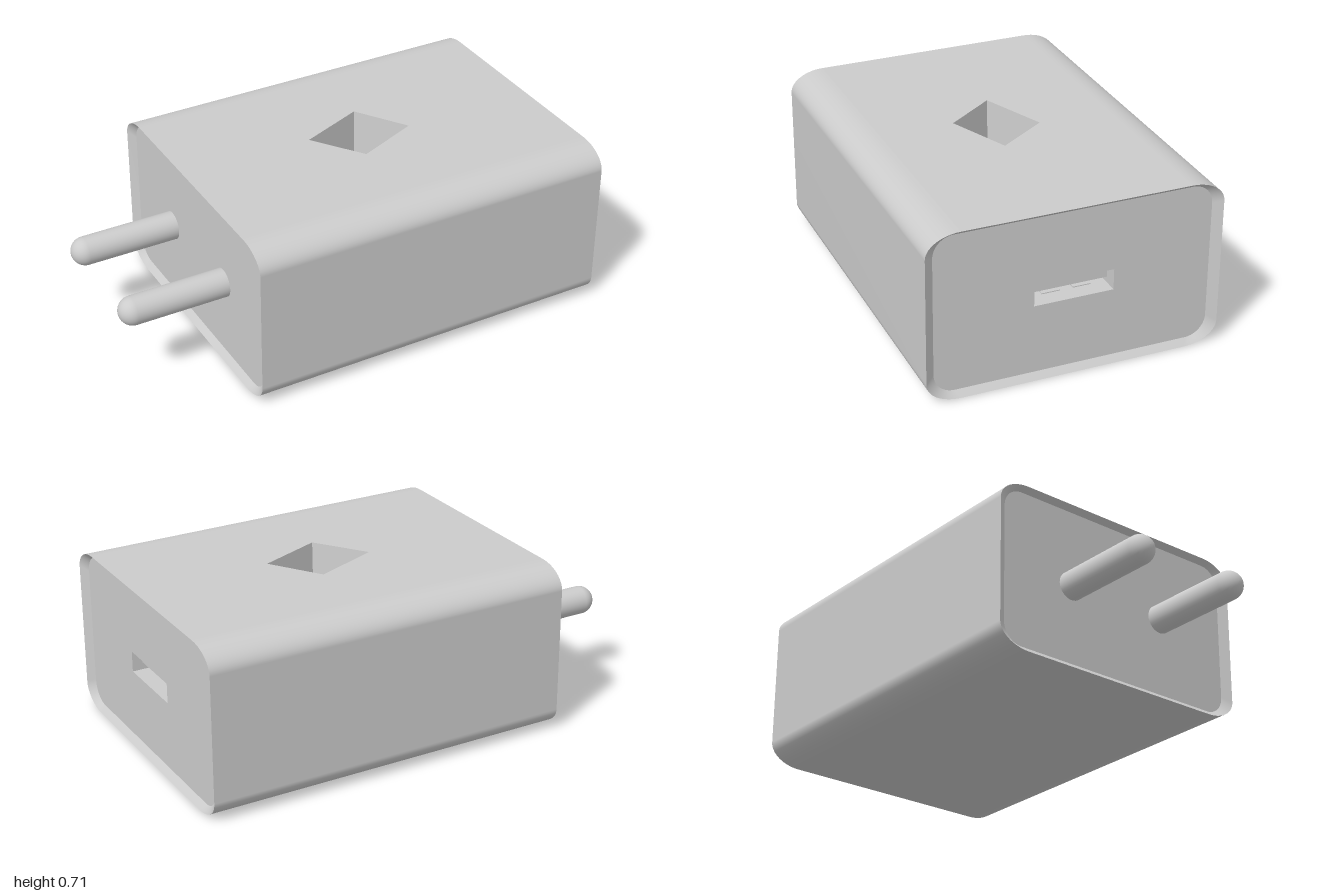
import * as THREE from 'three';

const V = (x, y, z) => new THREE.Vector3(x, y, z);
const BACK = -0.57, FRONT = 1, H = 0.71, RIM = 0.025;

const material = new THREE.MeshStandardMaterial({ color: 0xcccccc, side: THREE.DoubleSide });

function mesh(name, geometry, parent) {
  const m = new THREE.Mesh(geometry, material);
  m.name = name;
  parent.add(m);
  return m;
}

// Rounded section as [z, y] pairs, from the end of one top corner round to the other
function section(hz, y0, y1, rz, ry, n = 14) {
  const pts = [];
  const cy = (y0 + y1) / 2, hy = (y1 - y0) / 2;
  [[-1, 1], [-1, -1], [1, -1], [1, 1]].forEach(([sz, sy], c) => {
    for (let i = 0; i <= n; i++) {
      const t = (c + 1 + i / n) * Math.PI / 2;
      pts.push([sz * (hz - rz) + rz * Math.cos(t), cy + sy * (hy - ry) + ry * Math.sin(t)]);
    }
  });
  return pts;
}

// Sheet of quads between two matching rows of points
function loft(a, b, flat = false) {
  const pos = [], idx = [], n = a.length;
  [...a, ...b].forEach(p => pos.push(p.x, p.y, p.z));
  for (let i = 0; i < n - 1; i++) idx.push(i, n + i, i + 1, n + i, n + i + 1, i + 1);
  let g = new THREE.BufferGeometry();
  g.setAttribute('position', new THREE.Float32BufferAttribute(pos, 3));
  g.setIndex(idx);
  if (flat) g = g.toNonIndexed();
  g.computeVertexNormals();
  return g;
}

const closed = pts => [...pts, pts[0]];
const atX = (pts, x) => pts.map(([z, y]) => V(x, y, z));
const shapeOf = pts => new THREE.Shape(pts.map(([x, y]) => new THREE.Vector2(x, y)));
const flipX = pts => pts.map(([x, y]) => [-x, y]);
const flipY = pts => pts.map(([x, y]) => [x, -y]);

export function createModel() {
  const model = new THREE.Group();
  model.name = 'wallCharger';

  // Casing: wrapped shell with a separate top strip that holds the opening
  const casing = new THREE.Group();
  casing.name = 'casing';
  model.add(casing);
  const HZ = 0.61, RZ = 0.14, RY = 0.09;
  const outer = section(HZ, 0, H, RZ, RY);
  const inner = section(0.572, 0.025, 0.69, 0.085, 0.085);
  mesh('shell', loft(atX(outer, BACK), atX(outer, FRONT)), casing);

  const diamond = [[0, -0.052], [0.277, -0.165], [0.418, 0.047], [0.15, 0.158]];
  const centre = [0.211, -0.003];
  const diamondFloor = diamond.map(p => p.map((v, i) => centre[i] + (v - centre[i]) * 0.91));
  const w = HZ - RZ;
  const top = shapeOf([[BACK, -w], [FRONT, -w], [FRONT, w], [BACK, w]]);
  top.holes.push(shapeOf(flipY(diamond)));
  mesh('topStrip', new THREE.ShapeGeometry(top).rotateX(-Math.PI / 2).translate(0, H, 0), casing);

  // Deep tapered pocket in the top
  const depth = 0.2;
  const level = (pts, y) => closed(pts).map(([x, z]) => V(x, y, z));
  mesh('pocketWalls', loft(level(diamond, H), level(diamondFloor, H - depth), true), casing);
  mesh('pocketFloor', new THREE.ShapeGeometry(shapeOf(flipY(diamondFloor)))
    .rotateX(-Math.PI / 2).translate(0, H - depth, 0), casing);

  // Bevelled rims and recessed end panels
  const frontX = FRONT - RIM, backX = BACK + RIM;
  mesh('portRim', loft(atX(closed(outer), FRONT), atX(closed(inner), frontX)), casing);
  mesh('plugRim', loft(atX(closed(inner), backX), atX(closed(outer), BACK)), casing);
  const port = [[0.165, 0.315], [0.165, 0.403], [-0.165, 0.403], [-0.165, 0.315]];
  const portPanel = shapeOf(flipX(inner));
  portPanel.holes.push(shapeOf(flipX(port)));
  mesh('portPanel', new THREE.ShapeGeometry(portPanel).rotateY(Math.PI / 2).translate(frontX, 0, 0), casing);
  mesh('plugPanel', new THREE.ShapeGeometry(shapeOf(inner)).rotateY(-Math.PI / 2).translate(backX, 0, 0), casing);

  // Charging socket: walls, end, tongue and spring contacts
  const socket = new THREE.Group();
  socket.name = 'socket';
  model.add(socket);
  const socketEnd = frontX - 0.3;
  mesh('socketWalls', loft(atX(closed(port), frontX), atX(closed(port), socketEnd), true), socket);
  mesh('socketEnd', new THREE.ShapeGeometry(shapeOf(flipX(port)))
    .rotateY(Math.PI / 2).translate(socketEnd, 0, 0), socket);
  mesh('tongue', new THREE.BoxGeometry(0.26, 0.046, 0.312), socket).position.set(socketEnd + 0.13, 0.374, 0);
  for (const s of [-1, 1]) {
    mesh('springContact', new THREE.BoxGeometry(0.1, 0.004, 0.075), socket)
      .position.set(frontX - 0.12, 0.317, s * 0.065);
  }

  // Two round pins with domed tips
  const R = 0.06, tip = -1, root = BACK + 0.05;
  const profile = [new THREE.Vector2(R, 0)];
  const straight = root - tip - R;
  for (let i = 0; i <= 12; i++) {
    const t = i / 12 * Math.PI / 2;
    profile.push(new THREE.Vector2(R * Math.cos(t), straight + R * Math.sin(t)));
  }
  for (const s of [-1, 1]) {
    mesh('pin', new THREE.LatheGeometry(profile, 32).rotateZ(Math.PI / 2), model)
      .position.set(root, 0.36, s * 0.235);
  }
  return model;
}
